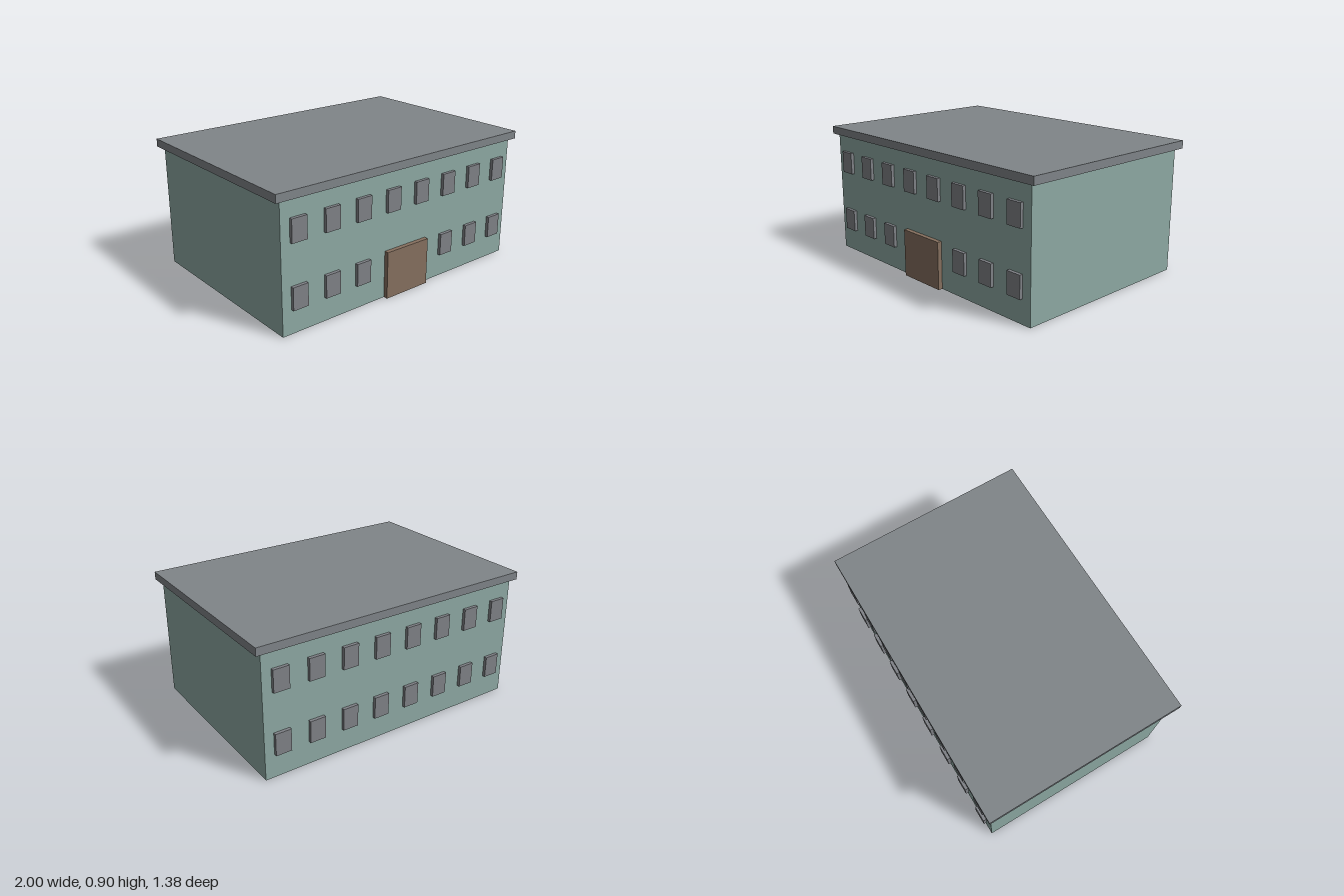
import * as THREE from 'three';

export function createModel() {
  const model = new THREE.Group();
  model.name = 'building';

  const material = (name, color) => {
    const m = new THREE.MeshStandardMaterial({ color });
    m.name = name;
    return m;
  };
  const wallGreen = material('wallGreen', 0x8eaaa4);
  const roofGrey = material('roofGrey', 0x808589);
  const windowGrey = material('windowGrey', 0x808287);
  const doorBrown = material('doorBrown', 0x86705f);

  // Box given by its centre in x and z and its bottom in y
  const box = (name, mat, [w, h, d], [x, bottom, z], parent = model) => {
    const mesh = new THREE.Mesh(new THREE.BoxGeometry(w, h, d), mat);
    mesh.name = name;
    mesh.position.set(x, bottom + h / 2, z);
    parent.add(mesh);
  };

  const midZ = -0.002; // the door stands slightly proud of the roof
  const wallDepth = 1.328;

  // Main block and overhanging flat roof
  box('walls', wallGreen, [1.92, 0.844, wallDepth], [0, 0, midZ]);
  box('roof', roofGrey, [2, 0.053, 1.381], [0, 0.844, midZ]);

  // Entrance door
  box('door', doorBrown, [0.35, 0.32, 0.04], [0, 0, 0.672]);

  // Two rows of eight windows, front and back; the door replaces two at the front
  for (const side of [1, -1]) {
    const windows = new THREE.Group();
    windows.name = side > 0 ? 'frontWindows' : 'backWindows';
    model.add(windows);
    for (const bottom of [0.159, 0.58]) {
      for (let i = 0; i < 8; i++) {
        const behindDoor = side > 0 && bottom < 0.32 && (i === 3 || i === 4);
        if (behindDoor) continue;
        const x = (i - 3.5) * 0.2405;
        box('window', windowGrey, [0.108, 0.149, 0.04], [x, bottom, midZ + side * (wallDepth / 2 + 0.002)], windows);
      }
    }
  }

  return model;
}
